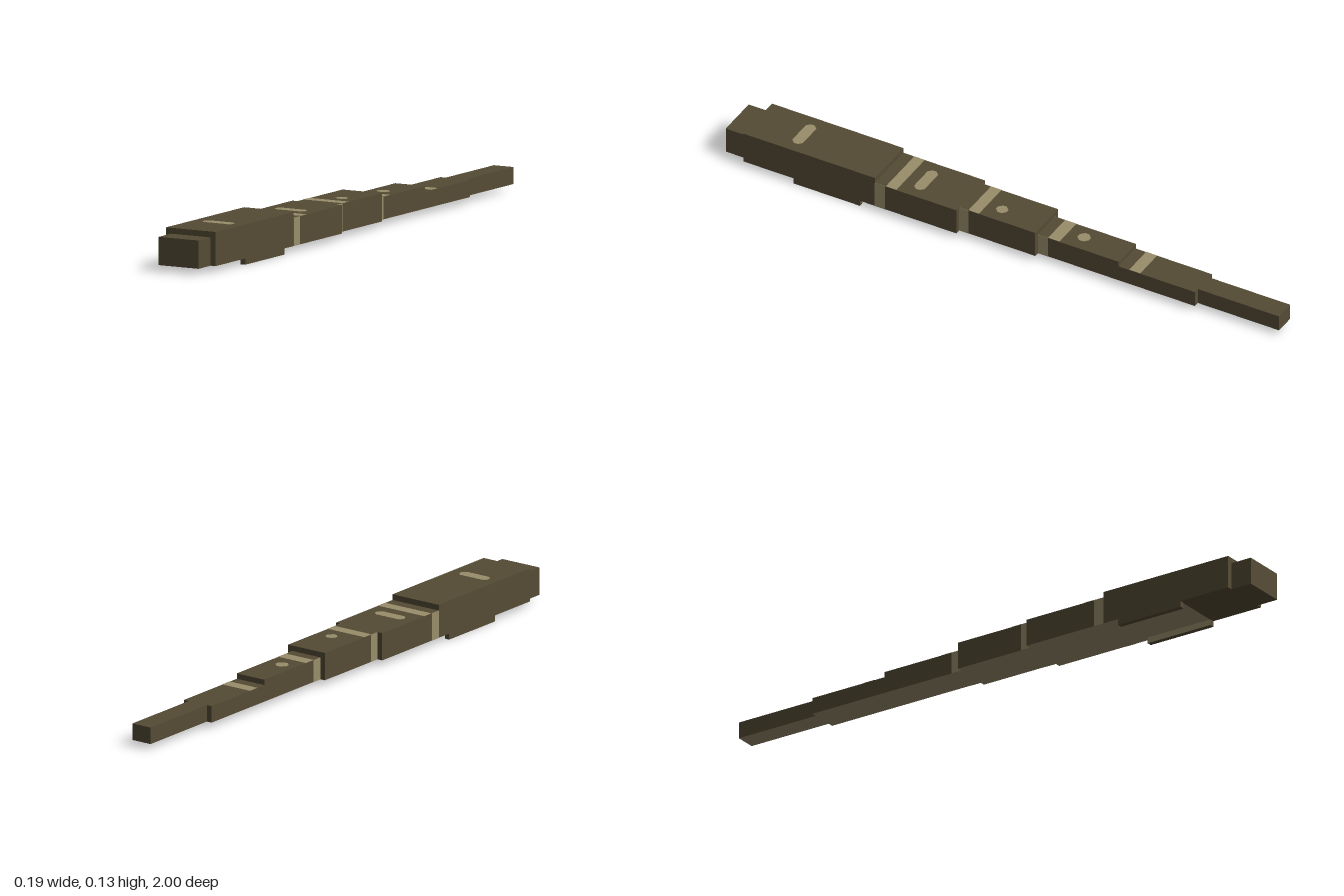
import * as THREE from 'three';

export function createModel() {
  const model = new THREE.Group();
  const brown = new THREE.MeshStandardMaterial({ color: 0x554b35 });
  brown.name = 'dark brown';
  const tan = new THREE.MeshStandardMaterial({ color: 0x998e6b });
  tan.name = 'pale tan';

  const BASE = 0.02; // underside height of the body
  const SKIN = 0.001; // thickness of painted markings

  const addBox = (name, material, [x0, x1], [y0, y1], [z0, z1]) => {
    const mesh = new THREE.Mesh(new THREE.BoxGeometry(x1 - x0, y1 - y0, z1 - z0), material);
    mesh.position.set((x0 + x1) / 2, (y0 + y1) / 2, (z0 + z1) / 2);
    mesh.name = name;
    model.add(mesh);
    return mesh;
  };

  // Body segments, front to tail: name, half width, top, back z, front z, pale belly
  const segments = [
    ['snout', 0.074, 0.111, 0.925, 1, false],
    ['headFront', 0.092, 0.13, 0.74, 0.925, false],
    ['headBack', 0.092, 0.13, 0.445, 0.74, true],
    ['neck', 0.092, 0.111, 0.147, 0.445, true],
    ['trunk', 0.073, 0.111, -0.13, 0.147, true],
    ['hips', 0.055, 0.093, -0.425, -0.13, true],
    ['tailBase', 0.055, 0.075, -0.703, -0.425, true],
    ['tailTip', 0.036, 0.075, -1, -0.703, true],
  ];
  for (const [name, w, top, z0, z1, pale] of segments) {
    // the fourth box side is the underside
    const mats = [brown, brown, brown, pale ? tan : brown, brown, brown];
    addBox(name, mats, [-w, w], [BASE, top], [z0, z1]);
  }

  // Low ridges under the head, pale on their inner sides
  for (const s of [-1, 1]) {
    const mats = [s < 0 ? tan : brown, s > 0 ? tan : brown, brown, brown, brown, brown];
    const xs = s > 0 ? [0.075, 0.092] : [-0.092, -0.075];
    addBox(s > 0 ? 'leftRidge' : 'rightRidge', mats, xs, [0, BASE], [0.5, 0.742]);
  }

  // Bands across the back: half width, top, z range
  const backBands = [
    [0.092, 0.111, 0.367, 0.405],
    [0.073, 0.111, 0.076, 0.114],
    [0.055, 0.093, -0.208, -0.167],
    [0.055, 0.075, -0.503, -0.463],
  ];
  for (const [w, top, z0, z1] of backBands) {
    addBox('backBand', tan, [-w, w], [top, top + SKIN], [z0, z1]);
  }

  // Upright bands on both flanks: half width, top, z range
  const flankBands = [
    [0.092, 0.111, 0.408, 0.445],
    [0.073, 0.111, 0.113, 0.147],
    [0.055, 0.093, -0.167, -0.13],
  ];
  for (const [w, top, z0, z1] of flankBands) {
    addBox('leftFlankBand', tan, [w, w + SKIN], [BASE, top], [z0, z1]);
    addBox('rightFlankBand', tan, [-w - SKIN, -w], [BASE, top], [z0, z1]);
  }

  // Spots with clipped ends: x, z, height, half length, half width
  const spots = [
    [0, 0.755, 0.13, 0.056, 0.019],
    [0, 0.31, 0.111, 0.056, 0.019],
    [0.016, 0.023, 0.111, 0.019, 0.019],
    [-0.004, -0.265, 0.093, 0.021, 0.021],
  ];
  for (const [x, z, y, a, b] of spots) {
    const c = b * 0.65;
    const outline = [[a, -b + c], [a, b - c], [a - c, b], [c - a, b],
      [-a, b - c], [-a, c - b], [c - a, -b], [a - c, -b]];
    const shape = new THREE.Shape(outline.map(([u, v]) => new THREE.Vector2(u, v)));
    const geometry = new THREE.ExtrudeGeometry(shape, { depth: SKIN, bevelEnabled: false });
    const spot = new THREE.Mesh(geometry.rotateX(-Math.PI / 2), tan);
    spot.position.set(x, y, z);
    spot.name = 'spot';
    model.add(spot);
  }

  return model;
}
